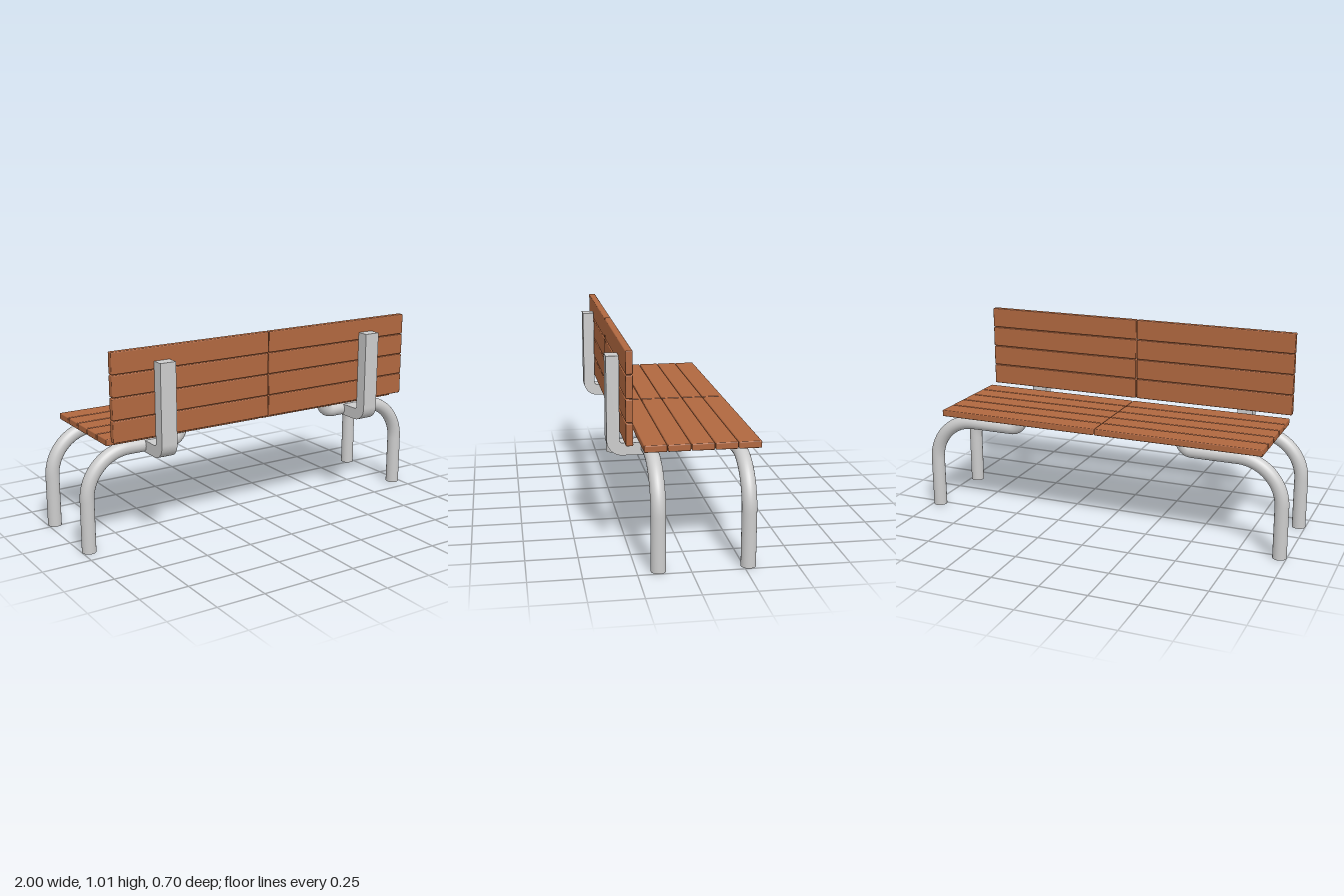
import * as THREE from 'three';
import { RoundedBoxGeometry } from 'three/addons/geometries/RoundedBoxGeometry.js';

const wood = new THREE.MeshStandardMaterial({ color: 0xb0673f });
const metal = new THREE.MeshStandardMaterial({ color: 0xcccccc });

function add(parent, name, geometry, material, x = 0, y = 0, z = 0) {
  const mesh = new THREE.Mesh(geometry, material);
  mesh.name = name;
  mesh.position.set(x, y, z);
  parent.add(mesh);
  return mesh;
}

// Quarter circle from a to b, with the tangents meeting at the given corner
function quarterArc(a, corner, b) {
  const k = 0.5523;
  return new THREE.CubicBezierCurve3(a, a.clone().lerp(corner, k), b.clone().lerp(corner, k), b);
}

// Bent pipe leg: up from the ground, inward under the seat, then up into the planks
function legPath(side) {
  const p = (x, y) => new THREE.Vector3(side * x, y, 0);
  const path = new THREE.CurvePath();
  path.add(new THREE.LineCurve3(p(0.9645, 0), p(0.9645, 0.268)));
  path.add(quarterArc(p(0.9645, 0.268), p(0.9645, 0.498), p(0.7345, 0.498)));
  path.add(new THREE.LineCurve3(p(0.7345, 0.498), p(0.5, 0.498)));
  path.add(quarterArc(p(0.5, 0.498), p(0.448, 0.498), p(0.448, 0.55)));
  return path;
}

// L-shaped flat bar, drawn as (z, y) and extruded across its width
function supportGeometry(width) {
  const s = new THREE.Shape();
  s.moveTo(0.15, 0.465);
  s.lineTo(0.273, 0.465);
  s.absarc(0.273, 0.54, 0.075, -Math.PI / 2, 0, false);
  s.lineTo(0.348, 0.945);
  s.lineTo(0.287, 0.945);
  s.lineTo(0.287, 0.54);
  s.absarc(0.272, 0.54, 0.015, 0, -Math.PI / 2, true);
  s.lineTo(0.15, 0.525);
  s.closePath();
  const g = new THREE.ExtrudeGeometry(s, { depth: width, bevelEnabled: false, curveSegments: 12 });
  g.translate(0, 0, -width / 2);
  g.rotateY(-Math.PI / 2); // shape x becomes +z
  return g;
}

export function createModel() {
  const bench = new THREE.Group();
  bench.name = 'bench';
  const seat = new THREE.Group();
  seat.name = 'seat';
  const backrest = new THREE.Group();
  backrest.name = 'backrest';
  const frame = new THREE.Group();
  frame.name = 'frame';
  bench.add(seat, backrest, frame);

  const plankLength = 0.8735, plankWidth = 0.107, thickness = 0.034, pitch = 0.1105;
  const seatPlank = new RoundedBoxGeometry(plankLength, thickness, plankWidth, 2, 0.005);
  const backPlank = new RoundedBoxGeometry(plankLength, plankWidth, thickness, 2, 0.005);
  const support = supportGeometry(0.084);
  const radius = 0.0355;

  for (const side of [-1, 1]) {
    const x = side * 0.4395;
    for (let i = 0; i < 5; i++) add(seat, 'seatPlank', seatPlank, wood, x, 0.556, 0.148 - i * pitch);
    for (let i = 0; i < 4; i++) add(backrest, 'backPlank', backPlank, wood, x, 0.627 + i * pitch, 0.267);

    add(frame, 'backSupport', support, metal, side * 0.613);

    const pipe = new THREE.TubeGeometry(legPath(side), 72, radius, 24, false);
    for (const z of [0.15, -0.2715]) {
      add(frame, 'leg', pipe, metal, 0, 0, z);
      const foot = add(frame, 'footCap', new THREE.CircleGeometry(radius, 24), metal, side * 0.9645, 0, z);
      foot.rotation.x = Math.PI / 2;
    }
  }
  return bench;
}
